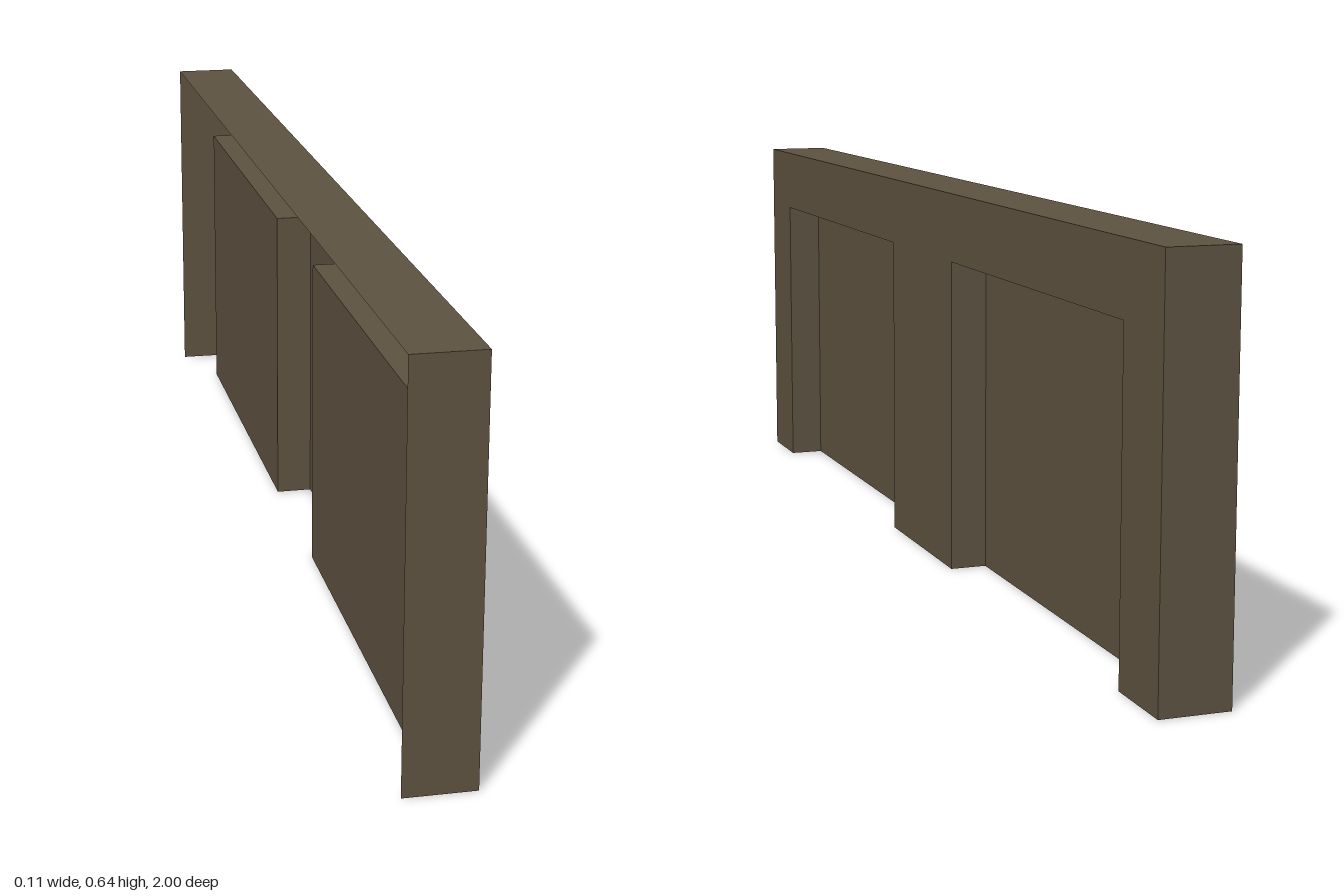
import * as THREE from 'three';

const HALF = 0.056;          // half thickness along x
const HEIGHT = 0.645;
const FLOOR_X = -0.006;      // depth of the recessed panels
const IN = 0.158, OUT = 0.868, TOP = 0.53; // recess extents along z and y

export function createModel() {
  const group = new THREE.Group();
  group.name = 'recessedWallPanel';
  const brown = new THREE.MeshStandardMaterial({ color: 0x5e5341, side: THREE.DoubleSide });
  brown.name = 'earthBrown';

  const add = (name, geometry, parent = group) => {
    const mesh = new THREE.Mesh(geometry, brown);
    mesh.name = name;
    parent.add(mesh);
    return mesh;
  };
  // Thin sheets facing x, y or z
  const sheetX = (d, h) => new THREE.PlaneGeometry(d, h).rotateY(Math.PI / 2);
  const sheetY = (w, d) => new THREE.PlaneGeometry(w, d).rotateX(-Math.PI / 2);
  const sheetZ = (w, h) => new THREE.PlaneGeometry(w, h);

  // Face sheet with two notches open at the bottom
  const outline = [
    [-1, 0], [-OUT, 0], [-OUT, TOP], [-IN, TOP], [-IN, 0],
    [IN, 0], [IN, TOP], [OUT, TOP], [OUT, 0], [1, 0], [1, HEIGHT], [-1, HEIGHT],
  ].map(([u, v]) => new THREE.Vector2(u, v));
  const face = new THREE.ShapeGeometry(new THREE.Shape(outline)).rotateY(Math.PI / 2);
  add('faceSheet', face).position.x = HALF;

  // Top and end strips; the back and the bottom stay open
  add('topStrip', sheetY(HALF * 2, 2)).position.y = HEIGHT;
  for (const s of [1, -1]) {
    const end = sheetZ(HALF * 2, HEIGHT);
    if (s < 0) end.rotateY(Math.PI);
    add(s > 0 ? 'frontEnd' : 'backEnd', end).position.set(0, HEIGHT / 2, s);
  }

  // Recesses: back panel, ceiling and two jambs
  const depth = HALF - FLOOR_X, midX = (HALF + FLOOR_X) / 2;
  for (const s of [1, -1]) {
    const recess = new THREE.Group();
    recess.name = s > 0 ? 'frontRecess' : 'backRecess';
    recess.position.z = s * (IN + OUT) / 2;
    group.add(recess);
    const w = OUT - IN;
    add('recessPanel', sheetX(w, TOP), recess).position.set(FLOOR_X, TOP / 2, 0);
    add('recessCeiling', sheetY(depth, w), recess).position.set(midX, TOP, 0);
    for (const t of [1, -1]) {
      add('recessJamb', sheetZ(depth, TOP), recess).position.set(midX, TOP / 2, t * w / 2);
    }
  }
  return group;
}
